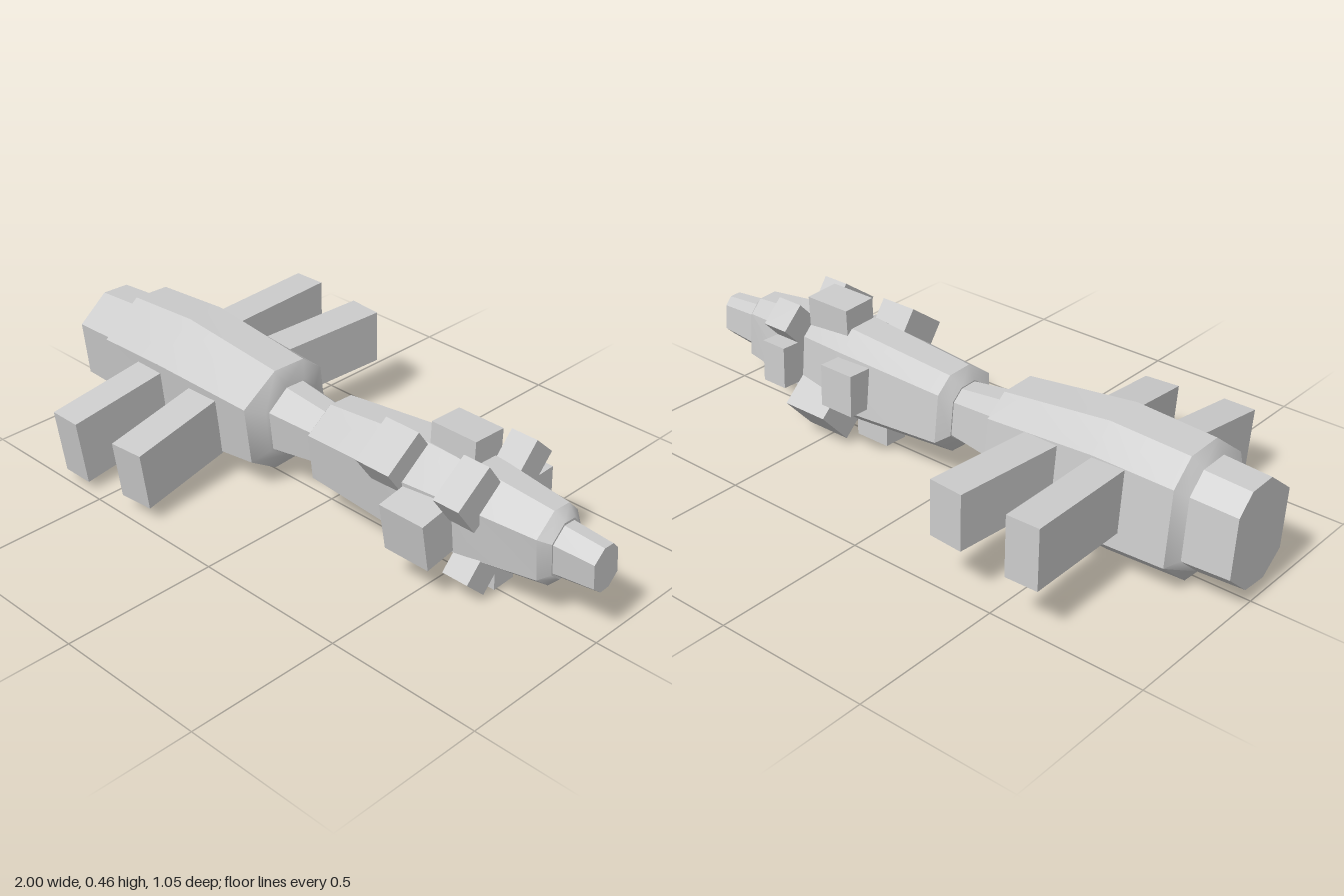
import * as THREE from 'three';
import { toCreasedNormals } from 'three/addons/utils/BufferGeometryUtils.js';

const material = new THREE.MeshStandardMaterial({ color: 0xcccccc });

// Eight-sided cross-section as (z, y) factors
const SECTION = [[0.25, 1], [-0.42, 0.98], [-0.84, 0.64], [-0.98, -0.5],
  [-0.36, -0.97], [0.28, -1], [0.84, -0.64], [0.98, 0.5]];

// Closed hull lofted through rings of [x, half height, half depth]
function hull(rings) {
  const n = SECTION.length, pos = [], idx = [];
  for (const [x, ry, rz] of rings)
    for (const [z, y] of SECTION)
      pos.push(x, 0.235 + 0.015 * x + y * ry, 0.003 - 0.013 * x + z * rz);
  for (let r = 0; r < rings.length - 1; r++)
    for (let i = 0; i < n; i++) {
      const a = r * n + i, b = r * n + (i + 1) % n;
      idx.push(a, a + n, b, b, a + n, b + n);
    }
  const last = (rings.length - 1) * n;
  for (let i = 1; i < n - 1; i++) {
    idx.push(0, i, i + 1);
    idx.push(last, last + i + 1, last + i);
  }
  const g = new THREE.BufferGeometry();
  g.setAttribute('position', new THREE.Float32BufferAttribute(pos, 3));
  g.setIndex(idx);
  return toCreasedNormals(g, 0.6);
}

export function createModel() {
  const model = new THREE.Group();
  const add = (name, geometry) => {
    const m = new THREE.Mesh(geometry, material);
    m.name = name;
    model.add(m);
    return m;
  };

  // Engine block, neck, forward hull and nose
  add('engineHull', hull([[-1, 0.16, 0.138], [-0.85, 0.168, 0.143], [-0.82, 0.205, 0.18],
    [-0.56, 0.216, 0.188], [-0.19, 0.168, 0.175], [-0.16, 0.118, 0.115]]));
  add('neck', hull([[-0.17, 0.116, 0.102], [0.01, 0.09, 0.085]]));
  add('forwardHull', hull([[0, 0.095, 0.09], [0.03, 0.133, 0.128], [0.4, 0.162, 0.15],
    [0.62, 0.147, 0.125], [0.84, 0.12, 0.095], [0.87, 0.09, 0.066]]));
  add('nose', hull([[0.86, 0.084, 0.062], [1, 0.07, 0.055]]));

  // Long side panels, from a point inside the hull to the outer end
  const panels = [
    ['leftPanelRear', [-0.61, 0.215, 0.05], [-0.61, 0.152, 0.508], 0.107, 0.217],
    ['leftPanelFront', [-0.385, 0.22, 0.05], [-0.347, 0.157, 0.49], 0.115, 0.195],
    ['rightPanelRear', [-0.61, 0.262, -0.05], [-0.625, 0.27, -0.525], 0.107, 0.19],
    ['rightPanelFront', [-0.39, 0.26, -0.05], [-0.357, 0.268, -0.515], 0.115, 0.175],
  ];
  for (const [name, from, to, width, height] of panels) {
    const a = new THREE.Vector3(...from), b = new THREE.Vector3(...to);
    const m = add(name, new THREE.BoxGeometry(width, height, a.distanceTo(b)));
    m.position.copy(a).add(b).multiplyScalar(0.5);
    m.lookAt(b);
  }

  // Equipment pods around the forward hull: z, y, outward angle, width, sets along x
  const REAR = [0.29, 0.413], MID = [0.415, 0.575], FRONT = [0.575, 0.665];
  const pods = [
    ['topPod', -0.027, 0.408, 92, 0.115, [MID]],
    ['leftPod', 0.163, 0.225, -10, 0.158, [MID]],
    ['lowerRightPod', -0.11, 0.128, 222, 0.148, [MID]],
    ['upperLeftPod', 0.103, 0.36, 54, 0.15, [REAR, FRONT]],
    ['rightPod', -0.145, 0.262, 178, 0.135, [REAR, FRONT]],
    ['bottomPod', -0.012, 0.088, 268, 0.083, [REAR, FRONT]],
    ['upperRightPod', -0.117, 0.374, 133, 0.095, [FRONT]],
    ['lowerLeftPod', 0.07, 0.112, -47, 0.1, [FRONT]],
  ];
  for (const [name, z, y, degrees, width, sets] of pods)
    for (const [x0, x1] of sets) {
      const m = add(name, new THREE.BoxGeometry(x1 - x0, width, 0.12));
      m.position.set((x0 + x1) / 2, y, z);
      m.rotation.x = -THREE.MathUtils.degToRad(degrees);
    }

  return model;
}
